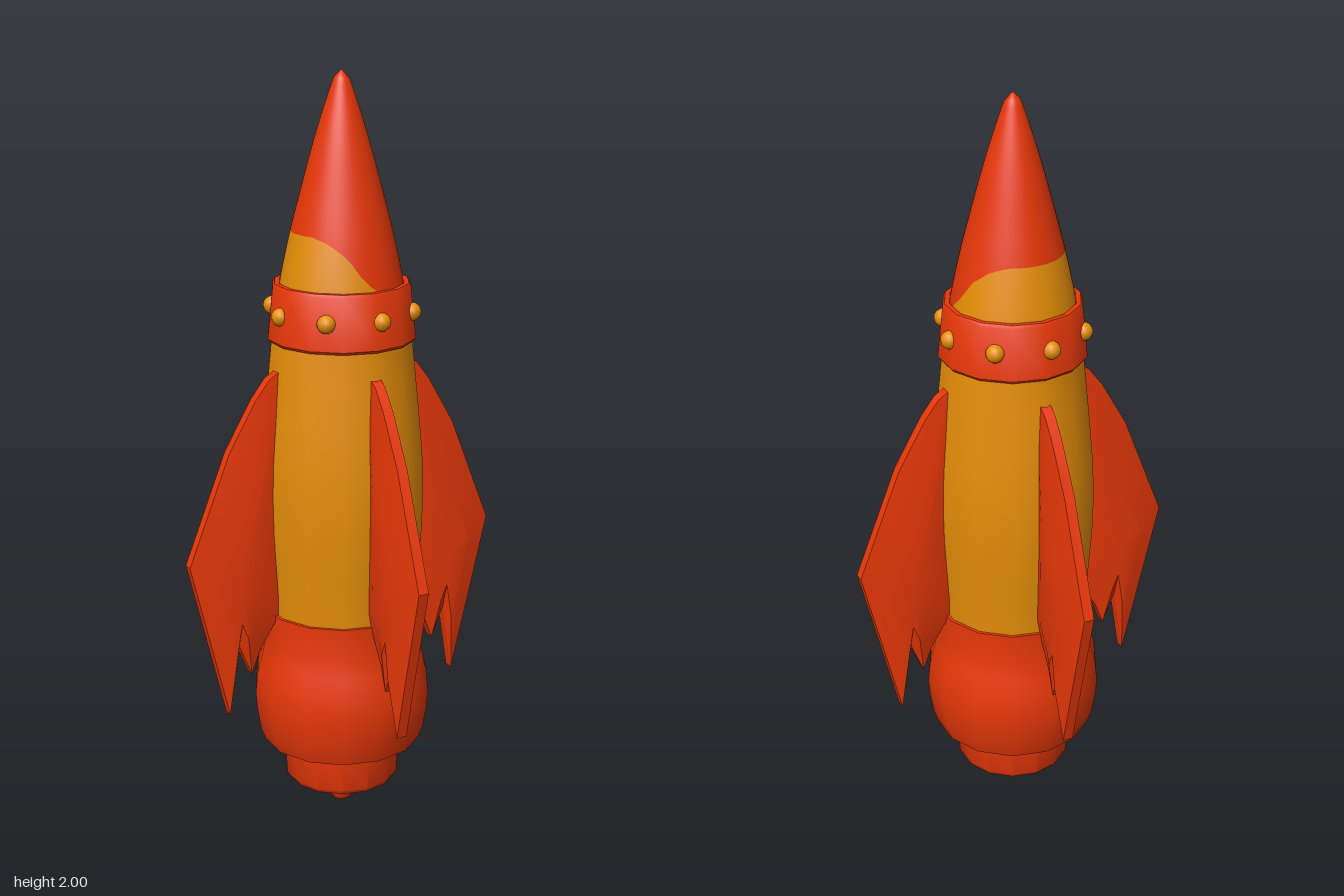
import * as THREE from 'three';
import { toCreasedNormals } from 'three/addons/utils/BufferGeometryUtils.js';
import { ParametricGeometry } from 'three/addons/geometries/ParametricGeometry.js';

const SIDES = 14;

// Surface of revolution from [radius, y] pairs, sharp edges kept
function turned(points) {
  const geo = new THREE.LatheGeometry(points.map(([r, y]) => new THREE.Vector2(r, y)), SIDES);
  return toCreasedNormals(geo, 0.65);
}

// Linear interpolation through [x, y] pairs sorted by x
function lerpTable(table, x) {
  for (let i = 1; i < table.length; i++) {
    const [x0, y0] = table[i - 1], [x1, y1] = table[i];
    if (x <= x1) return y0 + (y1 - y0) * Math.max(0, (x - x0) / (x1 - x0));
  }
  return table[table.length - 1][1];
}

// Fin: thin rim along the outline, swelling to a thicker middle on both faces
function finGeometry() {
  const outline = [
    [0.17, 1.25], [0.19, 1.248], [0.215, 1.232], [0.255, 1.18], [0.33, 1.05], [0.445, 0.76],
    [0.34, 0.325], [0.31, 0.515], [0.275, 0.43], [0.25, 0.495], [0.17, 0.62], [0.17, 0.9],
  ];
  const centre = [0.31, 0.66];
  const ring = (scale, z) => outline.map(([x, y]) => [
    centre[0] + (x - centre[0]) * scale, centre[1] + (y - centre[1]) * scale, z]);
  const rings = [ring(0, 0.037), ring(0.5, 0.035), ring(1, 0.014),
    ring(1, -0.014), ring(0.5, -0.035), ring(0, -0.037)];
  const pos = [];
  for (let k = 0; k < rings.length - 1; k++) {
    for (let i = 0; i < outline.length; i++) {
      const j = (i + 1) % outline.length;
      const a = rings[k][i], b = rings[k][j], c = rings[k + 1][j], d = rings[k + 1][i];
      // The first and last rings are single points, so one triangle each
      if (k > 0) pos.push(...a, ...b, ...c);
      if (k < rings.length - 2) pos.push(...a, ...c, ...d);
    }
  }
  const geo = new THREE.BufferGeometry();
  geo.setAttribute('position', new THREE.Float32BufferAttribute(pos, 3));
  return toCreasedNormals(geo, 0.35);
}

export function createModel() {
  const red = new THREE.MeshStandardMaterial({ color: 0xe83808 });
  red.name = 'red paint';
  const yellow = new THREE.MeshStandardMaterial({ color: 0xe68e08 });
  yellow.name = 'amber paint';

  const group = new THREE.Group();
  group.name = 'rocket';
  const add = (name, geo, mat) => {
    const mesh = new THREE.Mesh(geo, mat);
    mesh.name = name;
    group.add(mesh);
    return mesh;
  };

  // Hull
  add('hull', turned([
    [0.2, 0.55], [0.203, 0.62], [0.21, 0.72], [0.217, 0.82], [0.219, 0.92], [0.215, 1.02],
    [0.206, 1.12], [0.196, 1.22], [0.184, 1.34],
  ]), yellow);

  // Engine housing with a hollow underside
  add('engineHousing', turned([
    [0, 0.27], [0.185, 0.27], [0.192, 0.21], [0.202, 0.198], [0.215, 0.2], [0.226, 0.23],
    [0.236, 0.29], [0.24, 0.34], [0.234, 0.4], [0.221, 0.45], [0.21, 0.5], [0.21, 0.585],
    [0.19, 0.585],
  ]), red);

  // Hollow nozzle and the spike inside it
  add('nozzle', turned([
    [0, 0.2], [0.085, 0.19], [0.105, 0.09], [0.112, 0.08], [0.146, 0.078], [0.154, 0.09],
    [0.161, 0.2], [0.161, 0.28],
  ]), red);
  add('spike', turned([[0, 0], [0.025, 0], [0.031, 0.008], [0.041, 0.075], [0.06, 0.2]]), red);

  // Collar between hull and nose
  add('collar', turned([
    [0.16, 1.32], [0.19, 1.318], [0.195, 1.325], [0.181, 1.46], [0.176, 1.468], [0.163, 1.468],
    [0.157, 1.455], [0.14, 1.455],
  ]), red);

  // Rivets around the collar
  for (let i = 0; i < 8; i++) {
    const a = 0.1 + i * Math.PI / 4;
    const rivet = add('rivet', new THREE.SphereGeometry(0.024, 12, 8), yellow);
    rivet.position.set(Math.sin(a) * 0.184, 1.395, Math.cos(a) * 0.184);
  }

  // Nose cone, as [y, radius]
  const noseProfile = [[1.44, 0.164], [1.5, 0.153], [1.6, 0.131], [1.7, 0.105], [1.8, 0.078],
    [1.88, 0.054], [1.95, 0.031], [1.98, 0.02], [1.994, 0.011], [2, 0.002]];
  const smoothProfile = new THREE.CatmullRomCurve3(
    noseProfile.map(([y, r]) => new THREE.Vector3(y, r, 0))).getPoints(90).map((p) => [p.x, p.y]);

  // Its red paint dips to the collar on one diagonal: [degrees from the opposite side, y]
  const paintLine = [[0, 1.6], [75, 1.6], [95, 1.585], [115, 1.55], [128, 1.5], [138, 1.475],
    [150, 1.45], [180, 1.45]];
  const lineAt = (phi) => lerpTable(paintLine,
    Math.abs(((phi * 180 / Math.PI - 45 + 360) % 360) - 180));
  const noseBand = (low, high) => new ParametricGeometry((u, v, target) => {
    const phi = u * Math.PI * 2;
    const y = low(phi) + (high(phi) - low(phi)) * v;
    const r = lerpTable(smoothProfile, y);
    target.set(r * Math.sin(phi), y, r * Math.cos(phi));
  }, 42, 24);
  add('noseTip', noseBand(lineAt, () => 2), red);
  add('noseBase', noseBand(() => 1.44, lineAt), yellow);

  // Four fins
  const fin = finGeometry();
  for (let i = 0; i < 4; i++) {
    add('fin', fin, red).rotation.y = i * Math.PI / 2;
  }
  return group;
}
